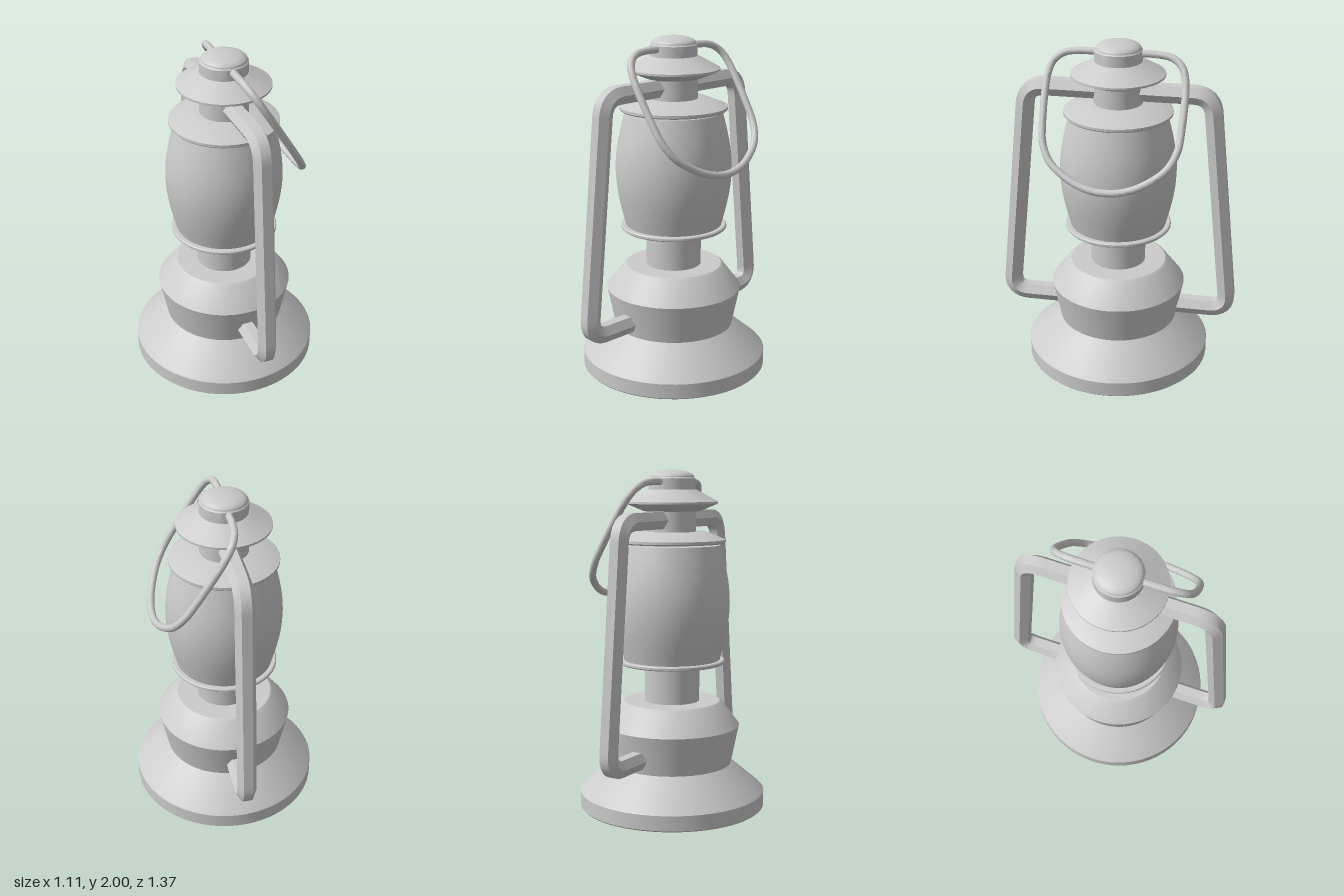
import * as THREE from 'three';
import { toCreasedNormals } from 'three/addons/utils/BufferGeometryUtils.js';

const material = new THREE.MeshStandardMaterial({ color: 0xcccccc });

function addPart(parent, name, geometry, crease = 0.4) {
  const mesh = new THREE.Mesh(toCreasedNormals(geometry, crease), material);
  mesh.name = name;
  parent.add(mesh);
  return mesh;
}

// Turned part from [radius, height] pairs, listed bottom to top
function turned(parent, name, profile) {
  const points = profile.map(([r, y]) => new THREE.Vector2(r, y));
  return addPart(parent, name, new THREE.LatheGeometry(points, 64));
}

// Path through corner points in the XY plane, each corner rounded by a given radius
function roundedPath(corners, radius) {
  const path = new THREE.CurvePath();
  const pts = corners.map(([x, y]) => new THREE.Vector3(x, y, 0));
  let last = pts[0];
  for (let i = 1; i < pts.length - 1; i++) {
    const p = pts[i];
    const toward = (q) => p.clone().add(q.clone().sub(p).setLength(radius));
    const start = toward(pts[i - 1]);
    const end = toward(pts[i + 1]);
    path.add(new THREE.LineCurve3(last, start));
    path.add(new THREE.QuadraticBezierCurve3(start, p, end));
    last = end;
  }
  path.add(new THREE.LineCurve3(last, pts[pts.length - 1]));
  return path;
}

export function createModel() {
  const lantern = new THREE.Group();
  lantern.name = 'lantern';

  // Flared foot, fuel tank and burner neck
  turned(lantern, 'base', [[0, 0], [0.545, 0], [0.553, 0.008], [0.553, 0.095], [0.545, 0.105], [0.355, 0.265], [0.3, 0.265]]);
  turned(lantern, 'fuelTank', [[0.355, 0.262], [0.402, 0.495], [0.3, 0.63], [0.285, 0.64], [0, 0.64]]);
  turned(lantern, 'burnerNeck', [[0.163, 0.63], [0.163, 0.875]]);

  // Globe between its two plates
  turned(lantern, 'lowerPlate', [[0, 0.866], [0.308, 0.866], [0.314, 0.872], [0.314, 0.884], [0.308, 0.89], [0, 0.89]]);
  const globe = [[0, 0.888]];
  for (let i = 0; i <= 20; i++) {
    const t = i / 20;
    globe.push([0.284 + 0.057 * Math.sin(Math.PI * t), 0.888 + 0.677 * t]);
  }
  globe.push([0, 1.565]);
  turned(lantern, 'globe', globe);
  turned(lantern, 'upperPlate', [[0, 1.575], [0.308, 1.575], [0.315, 1.582], [0.315, 1.597], [0.2, 1.643], [0, 1.643]]);

  // Chimney, hood and domed cap
  turned(lantern, 'chimney', [[0.14, 1.63], [0.14, 1.78]]);
  turned(lantern, 'hood', [[0, 1.762], [0.165, 1.762], [0.268, 1.805], [0.268, 1.817], [0.14, 1.887], [0.1, 1.887]]);
  const cap = [[0.137, 1.88], [0.137, 1.95]];
  for (let i = 0; i <= 10; i++) {
    const a = (i / 10) * Math.PI / 2;
    cap.push([0.13 * Math.cos(a), 1.957 + 0.043 * Math.sin(a)]);
  }
  turned(lantern, 'cap', cap);

  // Frame and bail share a turned axis: local +x points to the front, slightly right
  const rig = new THREE.Group();
  rig.name = 'frameAndBail';
  rig.rotation.y = -Math.PI / 2 - 0.33;
  lantern.add(rig);

  // Hexagonal side tubes, one on each side
  const tubePath = roundedPath([[0.08, 1.712], [0.535, 1.712], [0.675, 0.35], [0.3, 0.35]], 0.11);
  for (const [name, turn] of [['frontSideTube', 0], ['rearSideTube', Math.PI]]) {
    const tube = addPart(rig, name, new THREE.TubeGeometry(tubePath, 96, 0.057, 6), 0.5);
    tube.rotation.y = turn;
  }

  // Wire bail hanging in a tilted plane
  const half = [[0.1, 0], [0.22, 0], [0.305, -0.015], [0.36, -0.06], [0.387, -0.14],
    [0.387, -0.46], [0.375, -0.54], [0.325, -0.64], [0.22, -0.725], [0.11, -0.775]];
  const bailPoints = [...half, [0, -0.79], ...half.map(([x, y]) => [-x, y]).reverse()];
  const bailCurve = new THREE.CatmullRomCurve3(bailPoints.map(([x, y]) => new THREE.Vector3(x, y, 0)), false, 'centripetal');
  const bail = addPart(rig, 'bail', new THREE.TubeGeometry(bailCurve, 120, 0.021, 12), 1);
  bail.position.y = 1.932;
  bail.rotation.x = 0.56;

  return lantern;
}
